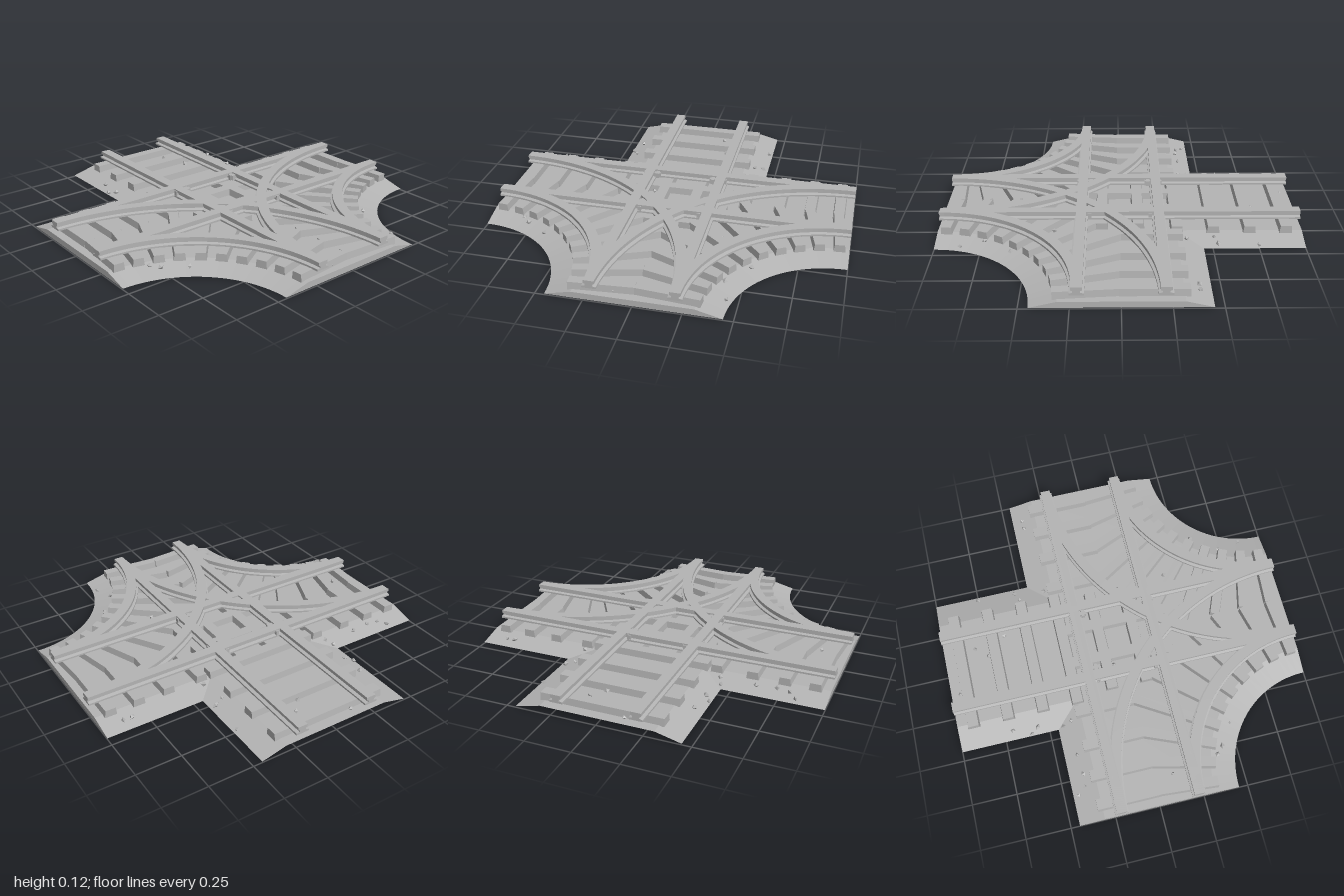
import * as THREE from 'three';

const BED = 0.034;      // height of the flat top of the ballast bed
const GAUGE = 0.215;    // rail centre to track centre

export function createModel() {
  const model = new THREE.Group();
  const grey = new THREE.MeshStandardMaterial({ color: 0xb4b4b4, flatShading: true });
  grey.name = 'stone grey';
  const sheetGrey = grey.clone();
  sheetGrey.name = 'stone grey';
  sheetGrey.side = THREE.DoubleSide;

  const add = (name, geometry, parent = model, material = grey) => {
    const mesh = new THREE.Mesh(geometry, material);
    mesh.name = name;
    parent.add(mesh);
    return mesh;
  };
  const group = (name) => {
    const g = new THREE.Group();
    g.name = name;
    model.add(g);
    return g;
  };

  // Ballast bed: thin sheet, flat in the middle and sloping to the ground at its sides
  const outline = (inset) => {
    const e = 0.45 - inset, r = 0.55 + inset, pts = [];
    for (let i = 0; i <= 24; i++) {
      const a = (i / 24) * Math.PI / 2;
      pts.push([-1 + r * Math.sin(a), 1 - r * Math.cos(a)]);
    }
    const left = [[-e, -1], [-e, -e], [-1, -e], ...pts];
    const right = left.map(([x, z]) => [-x, z]).reverse();
    return [...left, ...right];
  };
  const outer = outline(0), inner = outline(0.14);
  const pos = [], index = [];
  outer.forEach(([x, z], i) => pos.push(x, 0, z, inner[i][0], BED, inner[i][1]));
  for (let i = 0; i < outer.length - 1; i++) {
    const a = 2 * i;
    index.push(a, a + 2, a + 1, a + 1, a + 2, a + 3);
  }
  const slope = new THREE.BufferGeometry();
  slope.setAttribute('position', new THREE.Float32BufferAttribute(pos, 3));
  slope.setIndex(index);
  slope.computeVertexNormals();
  add('ballastSlope', slope, model, sheetGrey);
  const flat = new THREE.ShapeGeometry(
    new THREE.Shape(inner.map(([x, z]) => new THREE.Vector2(x, -z))));
  flat.rotateX(-Math.PI / 2).translate(0, BED, 0);
  add('ballastTop', flat, model, sheetGrey);

  // Sleepers: bars with slightly narrower tops, laid from point to point
  const sleepers = group('sleepers');
  const bar = (x0, z0, x1, z1, w = 0.07) => {
    const geo = new THREE.BoxGeometry(w, 0.042, Math.hypot(x1 - x0, z1 - z0));
    const p = geo.attributes.position;
    for (let i = 0; i < p.count; i++) if (p.getY(i) > 0) p.setX(i, p.getX(i) * 0.85);
    const mesh = add('sleeper', geo, sleepers);
    mesh.position.set((x0 + x1) / 2, 0.051, (z0 + z1) / 2);
    mesh.rotation.y = Math.atan2(x1 - x0, z1 - z0);
  };
  for (let i = 0; i < 4; i++) bar(-0.337, -0.31 - i * 0.199, 0.337, -0.31 - i * 0.199);

  // Fanned sleepers under each curve; those in the side arms bend to run straight back
  for (const s of [-1, 1]) {
    for (let i = 0; i < 10; i++) {
      const a = THREE.MathUtils.degToRad(4.5 + 9 * i);
      const far = Math.min(1 / Math.max(Math.cos(a), Math.sin(a)), 1.18);
      const at = (r) => [s * (1 - r * Math.sin(a)), 1 - r * Math.cos(a)];
      bar(...at(0.665), ...at(far), 0.062);
      if (i < 4) bar(at(far)[0], 0.012, at(far)[0], -0.337, 0.068);
    }
    // Frame of crossed sleepers at the centre
    bar(-0.3, s * 0.1, 0.3, s * 0.1);
    bar(s * 0.1, -0.3, s * 0.1, 0.3);
  }

  // Rail cross-section: foot, web and head, anticlockwise
  const half = [[0.037, 0.071], [0.037, 0.081], [0.018, 0.085],
    [0.018, 0.094], [0.028, 0.098], [0.028, 0.115]];
  const section = [...half, ...half.map(([x, y]) => [-x, y]).reverse()];
  const straight = new THREE.ExtrudeGeometry(
    new THREE.Shape(section.map(([x, y]) => new THREE.Vector2(x, y))),
    { depth: 2, bevelEnabled: false });
  straight.translate(0, 0, -1);

  const rails = group('rails');
  const guards = group('guardRails');
  for (const s of [-1, 1]) {
    add('longRail', straight, rails).position.x = s * GAUGE;
    const cross = add('crossRail', straight, rails);
    cross.rotation.y = Math.PI / 2;
    cross.position.z = s * GAUGE;

    // Curved rails swing from each side arm into the front arm
    for (const r of [1 - GAUGE, 1 + GAUGE]) {
      const loop = [...section, section[0]].map(([x, y]) => new THREE.Vector2(r + x, y));
      const start = s > 0 ? Math.PI : Math.PI / 2;
      add('curvedRail', new THREE.LatheGeometry(loop, 40, start, Math.PI / 2), rails)
        .position.set(s, 0, 1);
    }

    // Short guard rails round the inside of the crossing
    for (const t of [-1, 1]) {
      const g = new THREE.BoxGeometry(0.02, 0.03, 0.1);
      add('guardRail', g, guards).position.set(s * 0.168, 0.093, t * 0.2);
      const h = add('guardRail', g, guards);
      h.rotation.y = Math.PI / 2;
      h.position.set(s * 0.2, 0.093, t * 0.168);
    }
  }

  // Loose stones scattered over the bed
  const stones = group('looseStones');
  const spots = [
    [-0.13, -0.95], [0.12, -0.82], [0.06, -0.75], [0.16, -0.64], [0.1, -0.43],
    [-0.4, -0.7], [-0.44, -0.6], [-0.41, -0.56], [-0.44, -0.42], [-0.42, -0.37],
    [0.43, -0.75], [0.42, -0.53], [0.37, -0.51], [0.35, -0.43], [0.39, -0.36],
    [-0.84, -0.42], [-0.8, -0.38], [-0.73, -0.37], [-0.62, -0.38], [0.83, -0.39],
    [0.88, -0.39], [-0.85, 0.11], [-0.8, 0.38], [-0.76, 0.42], [-0.64, 0.5],
    [0.32, 0.36], [0.52, 0.58], [0.41, 0.73], [0.44, 0.86], [-0.16, -0.06], [-0.1, 0.95],
  ];
  const stone = new THREE.OctahedronGeometry(0.015);
  spots.forEach(([x, z], i) => {
    const edge = Math.abs(x) < 0.45 && Math.abs(z) > 0.45 ? 0.45 - Math.abs(x) : 0.45 - Math.abs(z);
    const curve = z > 0 ? Math.hypot(1 - Math.abs(x), 1 - z) - 0.55 : edge;
    const depth = THREE.MathUtils.clamp(curve / 0.14, 0, 1);
    const mesh = add('stone', stone, stones);
    mesh.position.set(x, BED * depth + 0.008, z);
    mesh.rotation.set(i * 1.3, i * 2.1, i * 0.7);
    mesh.scale.set(1, 0.7 + (i % 3) * 0.15, 0.8 + (i % 4) * 0.15);
  });

  return model;
}
